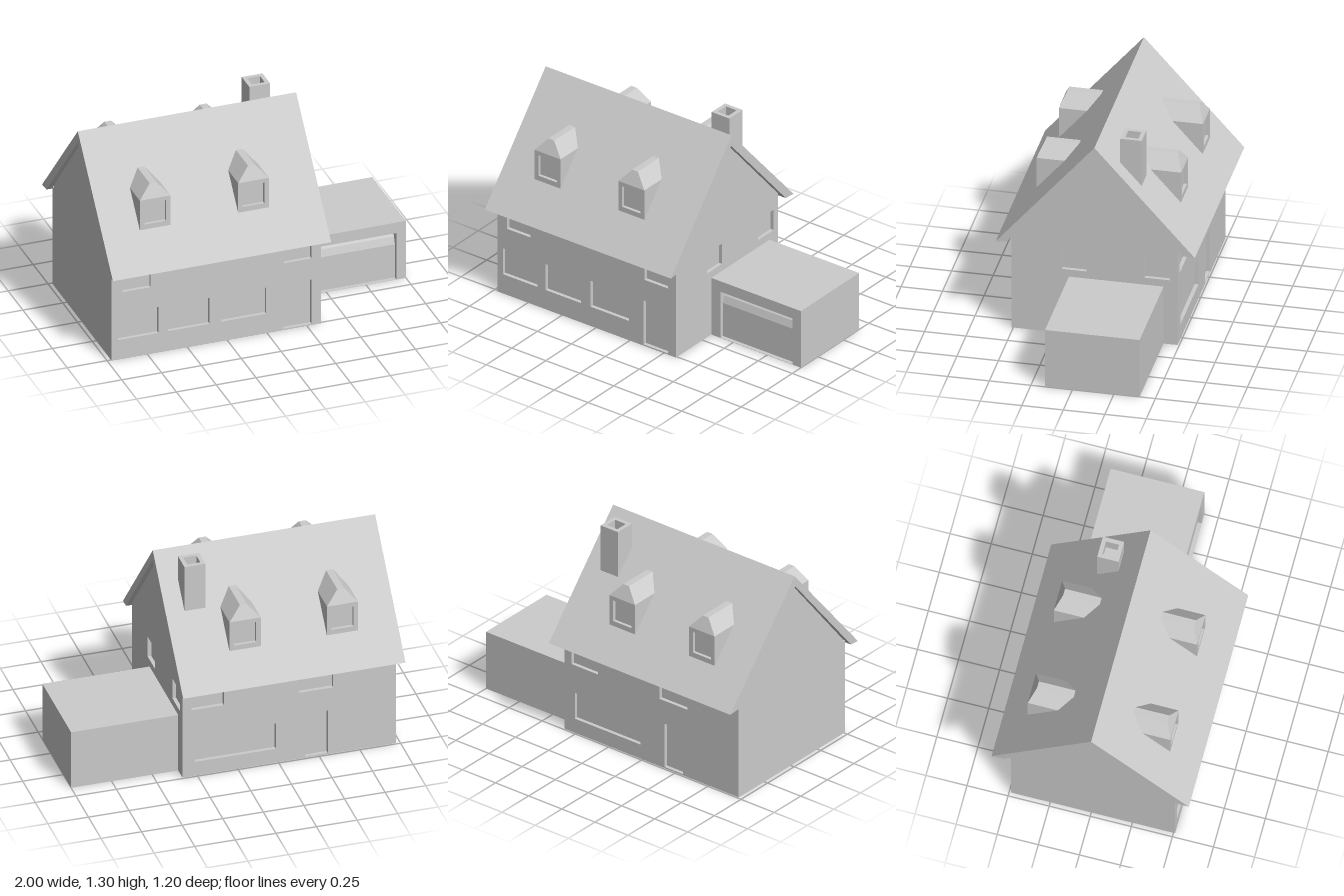
import * as THREE from 'three';
import { ConvexGeometry } from 'three/addons/geometries/ConvexGeometry.js';

const material = new THREE.MeshStandardMaterial({ color: 0xcccccc, flatShading: true, side: THREE.DoubleSide });
const RECESS = 0.023;

function add(parent, name, geometry) {
  const mesh = new THREE.Mesh(geometry, material);
  mesh.name = name;
  parent.add(mesh);
  return mesh;
}

function polygon(points) {
  return new THREE.Shape(points.map(([x, y]) => new THREE.Vector2(x, y)));
}

// Rectangles are given as [x0, x1, y0, y1]
function rect([x0, x1, y0, y1]) {
  return polygon([[x0, y0], [x1, y0], [x1, y1], [x0, y1]]);
}

// Wall slab from z0 to z1 with rectangular openings
function slab(shape, openings, z0, z1) {
  shape.holes = openings.map(rect);
  return new THREE.ExtrudeGeometry(shape, { depth: z1 - z0, bevelEnabled: false }).translate(0, 0, z0);
}

// Profile of [z, y] points swept from x0 to x1, with openings as [z0, z1, y0, y1]
function sweepX(points, x0, x1, openings = []) {
  const flipped = openings.map(([a, b, c, d]) => [-b, -a, c, d]);
  return slab(polygon(points.map(([z, y]) => [-z, y])), flipped, x0, x1).rotateY(Math.PI / 2);
}

function box(x0, x1, y0, y1, z0, z1) {
  return new THREE.BoxGeometry(x1 - x0, y1 - y0, z1 - z0)
    .translate((x0 + x1) / 2, (y0 + y1) / 2, (z0 + z1) / 2);
}

// Dormer built facing +z; its rear end runs into the roof slope
function dormer(name, face) {
  const group = new THREE.Group();
  group.name = name;
  const w = 0.096, base = 0.792, eave = 0.99, ridge = 1.075;
  add(group, 'dormerBody', box(-w, w, base, eave, 0.2, face - 0.02));
  add(group, 'dormerWindowFrame',
    slab(rect([-w, w, base, eave]), [[-0.068, 0.068, 0.825, 0.963]], face - 0.02, face));
  const corners = [];
  for (const s of [-1, 1]) {
    corners.push(
      new THREE.Vector3(s * w, eave, face), new THREE.Vector3(s * w, eave, 0.23),
      new THREE.Vector3(s * 0.021, ridge, face - 0.037), new THREE.Vector3(s * 0.021, ridge, 0.165));
  }
  add(group, 'dormerRoof', new ConvexGeometry(corners));
  return group;
}

export function createModel() {
  const model = new THREE.Group();
  model.name = 'house';

  // House body: solid core with pierced slabs laid over three sides
  const left = -0.975, right = 0.34, front = 0.51, back = -0.49;
  const gable = [[front, 0], [front, 0.62], [0.01, 1.215], [back, 0.657], [back, 0]];
  const inner = [[front - RECESS, 0], [front - RECESS, 0.64], [0.01, 1.215],
    [back + RECESS, 0.675], [back + RECESS, 0]];
  add(model, 'houseCore', sweepX(inner, left, right - RECESS));

  const frontOpenings = [
    [-0.935, -0.68, 0.13, 0.305], [-0.62, -0.36, 0.13, 0.305], [-0.29, -0.005, 0.13, 0.305],
    [0.1, 0.28, 0.008, 0.305],
    [-0.905, -0.73, 0.447, 0.6], [0.108, 0.28, 0.447, 0.6],
  ];
  add(model, 'frontWall',
    slab(rect([left, right - RECESS, 0, 0.62]), frontOpenings, front - RECESS, front));

  const backOpenings = [
    [-0.235, 0.262, 0.095, 0.27], [-0.555, -0.415, 0.008, 0.3],
    [0.085, 0.285, 0.455, 0.6], [-0.588, -0.378, 0.455, 0.6],
  ];
  add(model, 'backWall',
    slab(rect([left, right - RECESS, 0, 0.655]), backOpenings, back, back + RECESS));

  add(model, 'gableWall', sweepX(gable, right - RECESS, right,
    [[0.06, 0.205, 0.43, 0.567], [-0.445, -0.29, 0.43, 0.567]]));

  // Overhanging pitched roof
  add(model, 'roof', sweepX([[0.6, 0.585], [0.005, 1.285], [-0.6, 0.615],
    [-0.525, 0.62], [0.01, 1.215], [0.535, 0.59]], -1, 0.37));

  // Dormers, two on each slope
  for (const x of [-0.67, -0.053]) {
    const d = dormer('frontDormer', 0.425);
    d.position.x = x;
    model.add(d);
  }
  for (const x of [-0.66, -0.06]) {
    const d = dormer('backDormer', 0.445);
    d.position.x = x;
    d.rotation.y = Math.PI;
    model.add(d);
  }

  // Chimney with a hollow flue
  add(model, 'chimney', box(0.125, 0.255, 0.92, 1.2, -0.255, -0.125));
  const flue = slab(rect([-0.065, 0.065, -0.065, 0.065]), [[-0.04, 0.04, -0.04, 0.04]], 0, 0.1);
  add(model, 'chimneyFlue', flue.rotateX(-Math.PI / 2).translate(0.19, 1.2, -0.19));

  // Garage with a door that curves inward at the top
  add(model, 'garage', box(0.33, 1, 0, 0.383, -0.405, 0.07));
  add(model, 'garageFront',
    slab(rect([0.33, 1, 0, 0.383]), [[0.407, 0.94, 0.002, 0.312]], 0.07, 0.165));
  add(model, 'garageDoor', sweepX([[0.06, 0], [0.14, 0], [0.14, 0.225], [0.125, 0.27],
    [0.085, 0.312], [0.06, 0.312]], 0.407, 0.94));

  return model;
}
